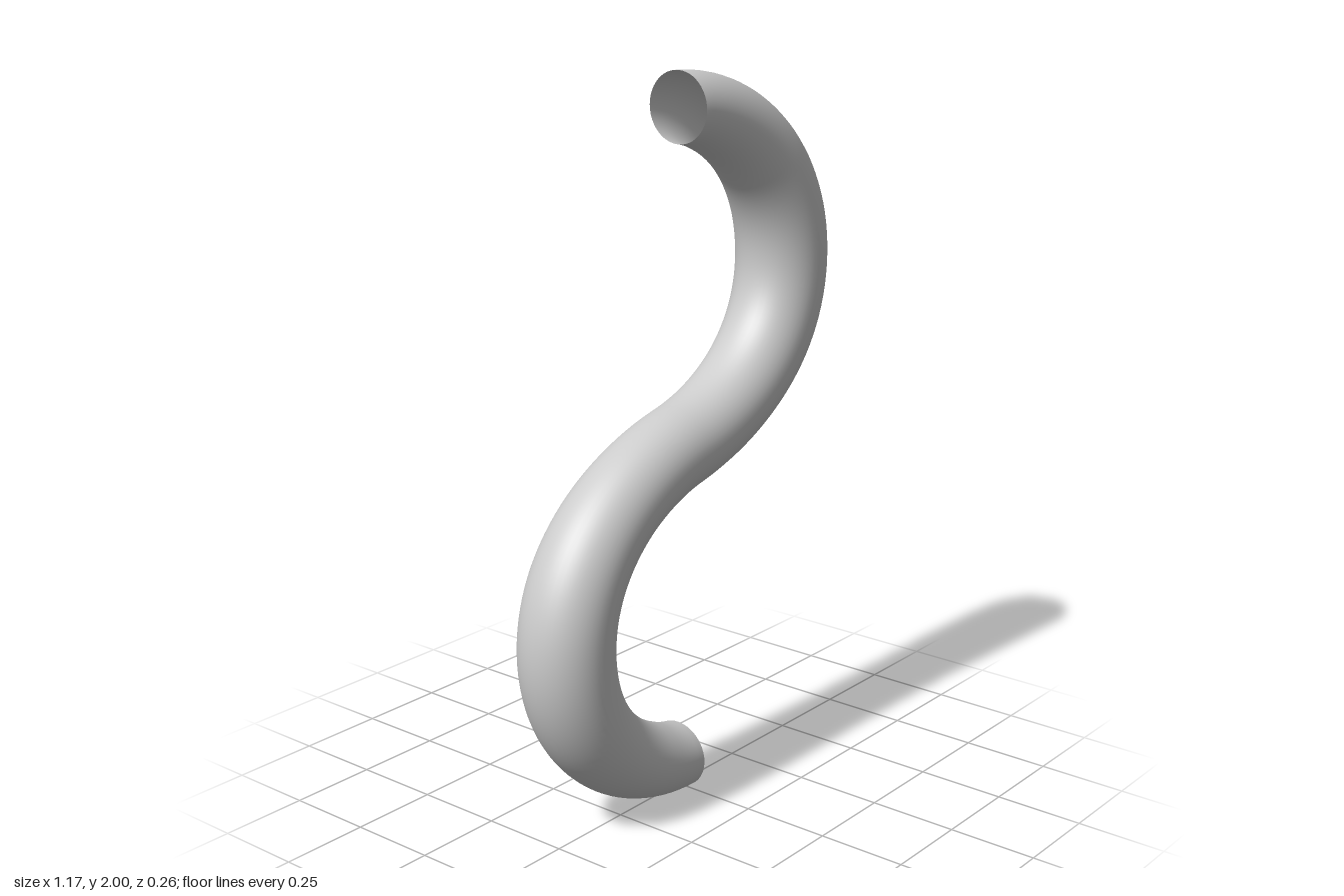
import * as THREE from 'three';

const SIDES = 48, STEPS = 28;
const v = (x, y) => new THREE.Vector2(x, y);

// Upper half of the S: end to outermost bend, then bend to the middle
const upper = [
  new THREE.CubicBezierCurve(v(0, 1.905), v(0.25, 1.88), v(0.457, 1.7), v(0.457, 1.455)),
  new THREE.CubicBezierCurve(v(0.457, 1.455), v(0.457, 1.21), v(0.24, 1.053), v(0, 1)),
];

// Cross-sections: centre, direction of travel and radius, thickest at the bend
function upperSections() {
  const list = [];
  upper.forEach((curve, k) => {
    for (let i = k; i <= STEPS; i++) {
      const t = i / STEPS;
      const centre = curve.getPoint(t), dir = curve.getTangent(t);
      // The open end is cut upright
      if (k === 0) dir.y *= Math.min(1, t * 6);
      dir.normalize();
      const radius = k === 0
        ? 0.095 + 0.034 * Math.sin(t * Math.PI / 2)
        : 0.117 + 0.012 * Math.cos(t * Math.PI / 2) ** 2;
      list.push({ centre, dir, radius });
    }
  });
  return list;
}

// Open tube skinned over circular sections
function loft(sections) {
  const pos = [], index = [];
  sections.forEach(({ centre, dir, radius }, i) => {
    for (let j = 0; j < SIDES; j++) {
      const a = j / SIDES * Math.PI * 2, c = radius * Math.cos(a);
      pos.push(centre.x - dir.y * c, centre.y + dir.x * c, radius * Math.sin(a));
      if (i === sections.length - 1) continue;
      const p = i * SIDES + j, q = i * SIDES + (j + 1) % SIDES;
      index.push(p, q, p + SIDES, q, q + SIDES, p + SIDES);
    }
  });
  const geo = new THREE.BufferGeometry();
  geo.setAttribute('position', new THREE.Float32BufferAttribute(pos, 3));
  geo.setIndex(index);
  geo.computeVertexNormals();
  return geo;
}

export function createModel() {
  const top = upperSections();
  // Lower half is the upper half turned half a revolution about the middle
  const bottom = top.slice(0, -1).reverse().map(({ centre, dir, radius }) => ({
    centre: v(-centre.x, 2 - centre.y), dir: dir.clone(), radius,
  }));
  const tube = new THREE.Mesh(
    loft([...top, ...bottom]),
    new THREE.MeshStandardMaterial({ color: 0xcccccc, side: THREE.DoubleSide }),
  );
  tube.name = 'curvedTube';
  const group = new THREE.Group();
  group.name = 'sShapedTube';
  group.add(tube);
  return group;
}
